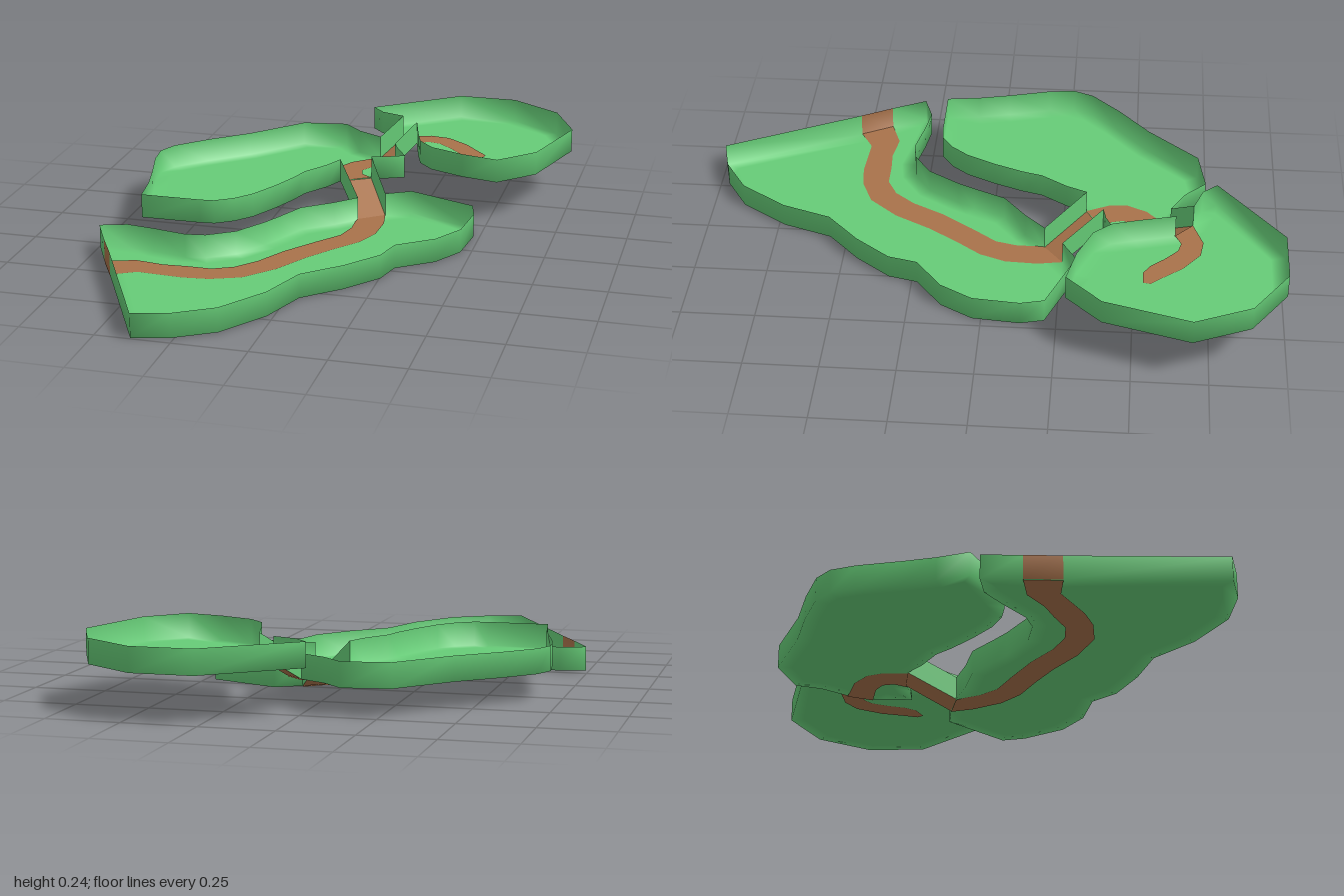
import * as THREE from 'three';

const grass = new THREE.MeshStandardMaterial({ color: 0x66cc77, side: THREE.DoubleSide });
grass.name = 'grass green';
const earth = new THREE.MeshStandardMaterial({ color: 0xa8724a, side: THREE.DoubleSide });
earth.name = 'path brown';

const WALL = 0.084, INSET = 0.05;
const OPEN = 1, PATH = 2; // edge flags: no wall, brown wall

// Outlines as [x, z, flag of the edge that starts here]
const lowerOutline = [
  [-0.74, 0.3], [-0.65, 0.27], [-0.55, 0.285], [-0.43, 0.31], [-0.36, 0.3], [-0.27, 0.24],
  [-0.2, 0.13], [-0.17, 0.07], [-0.12, -0.04], [-0.02, -0.12], [0.05, -0.19, OPEN], [0.135, -0.255],
  [0.22, -0.305], [0.46, -0.21], [0.48, -0.13], [0.465, 0.03], [0.4, 0.14], [0.28, 0.23],
  [0.255, 0.33], [0.16, 0.45], [0.04, 0.56], [-0.02, 0.73], [-0.13, 0.89], [-0.26, 0.97],
  [-0.38, 1], [-0.62, 0.53, PATH], [-0.68, 0.42],
];
const middleOutline = [
  [-0.05, -0.33], [-0.08, -0.26], [-0.14, -0.17], [-0.16, -0.1], [-0.2, 0], [-0.25, 0.1],
  [-0.3, 0.16], [-0.36, 0.2], [-0.41, 0.205], [-0.62, 0.205], [-0.635, 0.09], [-0.66, -0.02],
  [-0.7, -0.17], [-0.71, -0.26], [-0.68, -0.33], [-0.58, -0.43], [-0.45, -0.54], [-0.29, -0.715],
  [-0.13, -0.74], [-0.06, -0.67], [0.03, -0.62, OPEN], [0.1, -0.555], [0.12, -0.51],
  [0.165, -0.43], [0.1, -0.4], [0.05, -0.39, OPEN],
];
const upperOutline = [
  [-0.03, -0.775], [0.26, -1], [0.47, -1], [0.65, -0.88], [0.735, -0.69], [0.65, -0.4],
  [0.53, -0.28], [0.4, -0.31], [0.28, -0.36], [0.225, -0.42], [0.2, -0.5],
  [0.165, -0.635, OPEN], [0.1, -0.695], [0.015, -0.725],
];

// Path edges as [left x, left z, right x, right z]
const lowerPath = [
  [-0.68, 0.42, -0.62, 0.53], [-0.58, 0.385, -0.54, 0.485], [-0.48, 0.4, -0.46, 0.49],
  [-0.4, 0.395, -0.38, 0.495], [-0.31, 0.395, -0.29, 0.485], [-0.24, 0.36, -0.19, 0.445],
  [-0.18, 0.29, -0.1, 0.345], [-0.12, 0.18, -0.03, 0.22], [-0.04, 0.07, 0.04, 0.12],
  [0.03, -0.02, 0.11, 0.03], [0.05, -0.1, 0.145, -0.06], [0.047, -0.15, 0.15, -0.17],
  [0.05, -0.19, 0.135, -0.255],
];
const middlePath = [
  [-0.05, -0.33, 0.05, -0.39], [-0.09, -0.41, 0.01, -0.42], [-0.095, -0.47, 0, -0.46],
  [-0.06, -0.54, 0.025, -0.5], [0.03, -0.62, 0.1, -0.555],
];
const upperPath = [
  [0.1, -0.695, 0.165, -0.635], [0.2, -0.73, 0.21, -0.655], [0.27, -0.72, 0.25, -0.645],
  [0.35, -0.66, 0.3, -0.6], [0.4, -0.6, 0.34, -0.555], [0.44, -0.555, 0.38, -0.53],
  [0.435, -0.53, 0.41, -0.53],
];

function buildGeometry(positions, index) {
  const g = new THREE.BufferGeometry();
  g.setAttribute('position', new THREE.Float32BufferAttribute(positions, 3));
  g.setIndex(index);
  g.computeVertexNormals();
  return g;
}

function addMesh(parent, name, geometry, material) {
  const m = new THREE.Mesh(geometry, material);
  m.name = name;
  parent.add(m);
}

// Open tray: upright rim, floor border softly shaded, flat floor inside
function trayGeometry(outline, y) {
  const n = outline.length;
  const pts = outline.map(([x, z]) => new THREE.Vector2(x, z));
  const inward = (a, b) => new THREE.Vector2(a.y - b.y, b.x - a.x).normalize();
  const inner = pts.map((p, i) => {
    const dir = inward(pts[(i + n - 1) % n], p).add(inward(p, pts[(i + 1) % n])).normalize();
    return p.clone().addScaledVector(dir, INSET);
  });
  const positions = [];
  pts.forEach((p) => positions.push(p.x, y + WALL, p.y));
  pts.forEach((p) => positions.push(p.x, y, p.y));
  inner.forEach((p) => positions.push(p.x, y, p.y));

  const green = [], brown = [];
  for (let i = 0; i < n; i++) {
    const j = (i + 1) % n, flag = outline[i][2];
    green.push(n + i, 2 * n + j, n + j, n + i, 2 * n + i, 2 * n + j);
    if (flag !== OPEN) (flag === PATH ? brown : green).push(i, n + i, n + j, i, n + j, j);
  }
  for (const [a, b, c] of THREE.ShapeUtils.triangulateShape(inner, [])) {
    green.push(2 * n + c, 2 * n + b, 2 * n + a);
  }
  const g = buildGeometry(positions, [...green, ...brown]);
  g.addGroup(0, green.length, 0);
  g.addGroup(green.length, brown.length, 1);
  return g;
}

// Strip between two rows of 3D points
function stripGeometry(left, right) {
  const positions = [], index = [];
  left.forEach((p, i) => {
    positions.push(...p, ...right[i]);
    if (i) {
      const k = 2 * i;
      index.push(k - 2, k - 1, k, k, k - 1, k + 1);
    }
  });
  return buildGeometry(positions, index);
}

// Path lies just above the floor and shows just beneath it
function addPath(parent, rows, y) {
  for (const [name, h] of [['pathTop', y + 0.003], ['pathUnderside', y - 0.003]]) {
    const left = rows.map((r) => [r[0], h, r[1]]);
    const right = rows.map((r) => [r[2], h, r[3]]);
    addMesh(parent, name, stripGeometry(left, right), earth);
  }
}

// Sloping path with green side walls
function addRamp(parent, name, from, to, y0, y1) {
  const ramp = new THREE.Group();
  ramp.name = name;
  const left = [[from[0], y0, from[1]], [to[0], y1, to[1]]];
  const right = [[from[2], y0, from[3]], [to[2], y1, to[3]]];
  const raise = (row) => row.map(([x, y, z]) => [x, y + WALL, z]);
  addMesh(ramp, 'rampSurface', stripGeometry(left, right), earth);
  addMesh(ramp, 'rampLeftWall', stripGeometry(raise(left), left), grass);
  addMesh(ramp, 'rampRightWall', stripGeometry(right, raise(right)), grass);
  parent.add(ramp);
}

export function createModel() {
  const model = new THREE.Group();
  model.name = 'terracedHills';
  const terraces = [
    ['lowerTerrace', lowerOutline, lowerPath, 0.004],
    ['middleTerrace', middleOutline, middlePath, 0.093],
    ['upperTerrace', upperOutline, upperPath, 0.157],
  ];
  for (const [name, outline, path, y] of terraces) {
    const terrace = new THREE.Group();
    terrace.name = name;
    addMesh(terrace, 'tray', trayGeometry(outline, y), [grass, earth]);
    addPath(terrace, path, y);
    model.add(terrace);
  }
  // Ramps join the end of one path to the start of the next
  addRamp(model, 'lowerRamp', lowerPath.at(-1), middlePath[0], 0.004, 0.093);
  addRamp(model, 'upperRamp', middlePath.at(-1), upperPath[0], 0.093, 0.157);
  return model;
}
